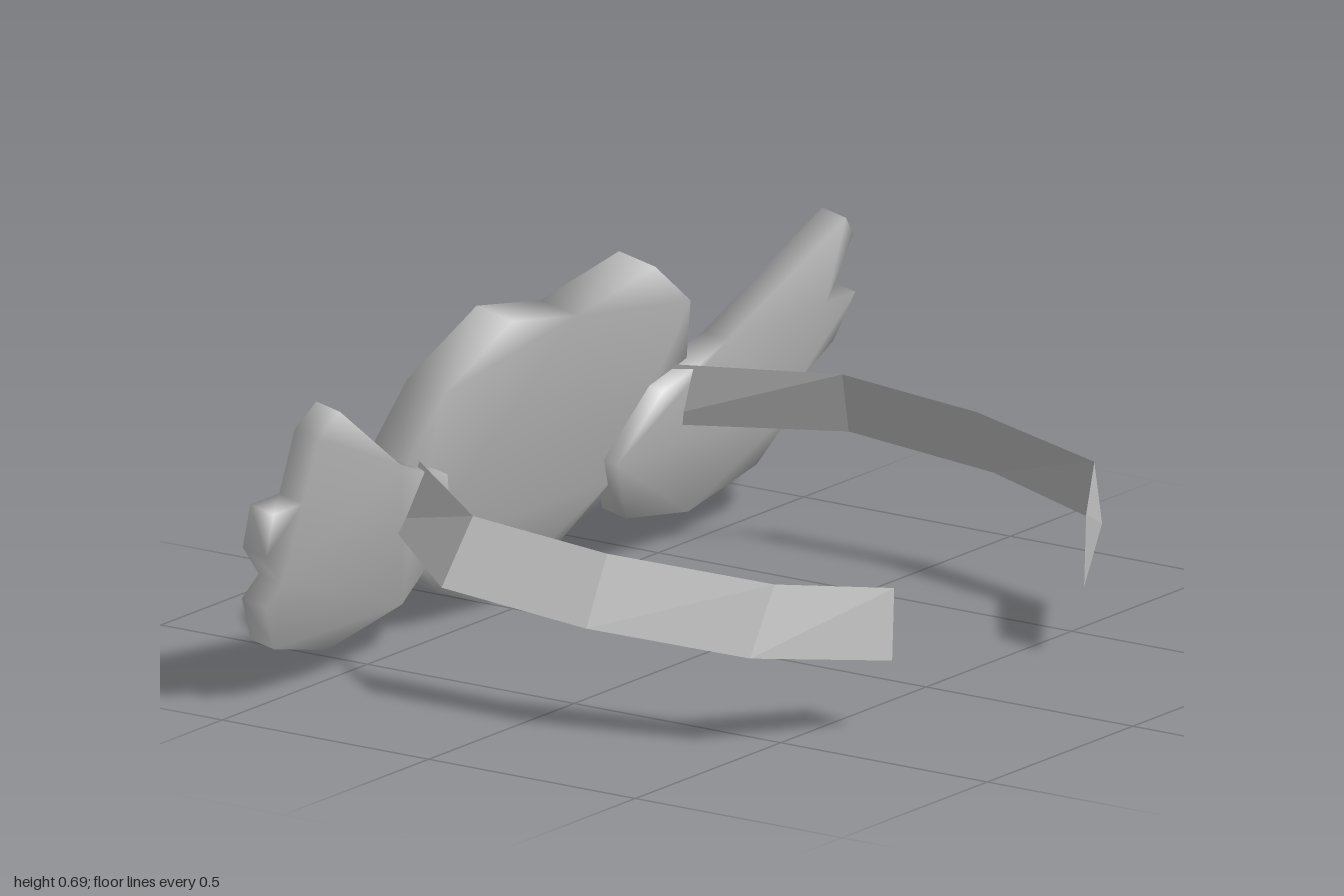
import * as THREE from 'three';

const material = new THREE.MeshStandardMaterial({ color: 0xcccccc });
const ribbonMaterial = new THREE.MeshStandardMaterial({
  color: 0xcccccc, flatShading: true, side: THREE.DoubleSide,
});
const SLOPE = 0.355; // forward lean of the plates, dz per dy

// Leaning plate: front outline plus a copy pushed back, sharing soft normals.
function plate(name, outline, zAtGround, rise, depth) {
  const pts = outline.map(([x, y]) => new THREE.Vector2(x, y));
  if (THREE.ShapeUtils.isClockWise(pts)) pts.reverse();
  const n = pts.length;
  const positions = [];
  for (const [dy, dz] of [[0, 0], [rise, -depth]]) {
    for (const p of pts) positions.push(p.x, p.y + dy, zAtGround + SLOPE * p.y + dz);
  }
  const index = [];
  for (const [a, b, c] of THREE.ShapeUtils.triangulateShape(pts, [])) {
    index.push(a, b, c, c + n, b + n, a + n);
  }
  for (let i = 0; i < n; i++) {
    const j = (i + 1) % n;
    index.push(i, i + n, j, j, i + n, j + n);
  }
  const geometry = new THREE.BufferGeometry();
  geometry.setAttribute('position', new THREE.Float32BufferAttribute(positions, 3));
  geometry.setIndex(index);
  geometry.computeVertexNormals();
  const mesh = new THREE.Mesh(geometry, material);
  mesh.name = name;
  return mesh;
}

// Thin ribbon between matching top and bottom edge points.
function ribbon(name, sections, side) {
  const positions = [];
  const index = [];
  sections.forEach(([top, bottom], i) => {
    for (const [x, y, z] of [top, bottom]) positions.push(side * x, y, z);
    const k = i * 2;
    if (i > 0) index.push(k - 2, k - 1, k, k, k - 1, k + 1);
  });
  const geometry = new THREE.BufferGeometry();
  geometry.setAttribute('position', new THREE.Float32BufferAttribute(positions, 3));
  geometry.setIndex(index);
  geometry.computeVertexNormals();
  const mesh = new THREE.Mesh(geometry, ribbonMaterial);
  mesh.name = name;
  return mesh;
}

// Half heart from notch to tip
const heartHalf = [
  [0, 0.63], [0.245, 0.677], [0.425, 0.56], [0.49, 0.4],
  [0.345, 0.19], [0.2, 0.075], [0, 0.003],
];

// Feathered wing, from the upper inner edge round the tips
const wing = [
  [0.47, 0.41], [0.56, 0.445], [0.87, 0.638], [0.92, 0.59], [0.9, 0.445],
  [1, 0.445], [0.975, 0.345], [0.88, 0.265], [0.915, 0.22], [0.83, 0.11],
  [0.62, 0.058], [0.385, 0.1], [0.285, 0.24], [0.37, 0.38],
];

// Strap sections from the rear forward: [top edge, bottom edge]
const strap = [
  [[0.42, 0.42, -0.44], [0.43, 0.285, -0.505]],
  [[0.635, 0.395, -0.15], [0.7, 0.258, -0.18]],
  [[0.635, 0.37, 0.175], [0.7, 0.23, 0.17]],
  [[0.55, 0.343, 0.52], [0.605, 0.2, 0.5]],
  [[0.33, 0.307, 0.655], [0.33, 0.157, 0.65]],
];

export function createModel() {
  const group = new THREE.Group();
  group.name = 'wingedHeartHeadband';
  const mirrored = heartHalf.slice(1, -1).reverse().map(([x, y]) => [-x, y]);
  group.add(plate('heart', [...heartHalf, ...mirrored], -0.568, 0.018, 0.088));
  for (const [label, side] of [['left', 1], ['right', -1]]) {
    const outline = wing.map(([x, y]) => [side * x, y]);
    group.add(plate(label + 'Wing', outline, -0.533, 0.012, 0.057));
    group.add(ribbon(label + 'Strap', strap, side));
  }
  return group;
}
